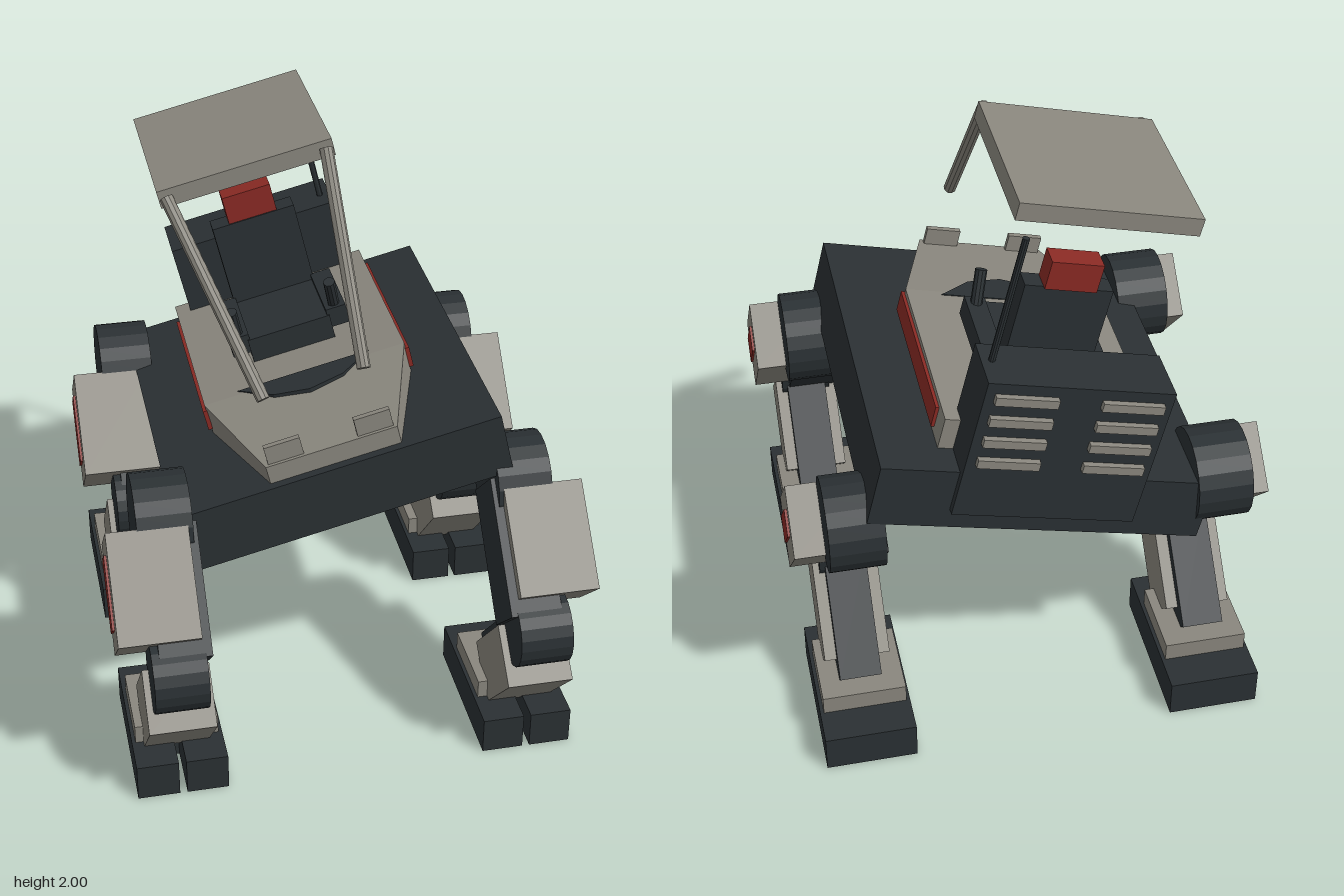
import * as THREE from 'three';

const mat = (color) => new THREE.MeshStandardMaterial({ color, flatShading: true });

export function createModel() {
  const grey = mat(0x8a877e), dark = mat(0x2a3033), red = mat(0x8a2a24);
  const model = new THREE.Group();
  model.name = 'quadWalker';

  const add = (parent, name, geo, material, x, y, z, rx = 0) => {
    const m = new THREE.Mesh(geo, material);
    m.name = name;
    m.position.set(x, y, z);
    m.rotation.x = rx;
    parent.add(m);
    return m;
  };
  // box given by its size and centre, optionally pitched about x
  const box = (parent, name, material, [w, h, d], [x, y, z], rx = 0) =>
    add(parent, name, new THREE.BoxGeometry(w, h, d), material, x, y, z, rx);
  // disc joint with its axis along x
  const joint = (parent, name, r, w, [x, y, z]) => {
    const geo = new THREE.CylinderGeometry(r, r, w, 20).rotateZ(Math.PI / 2);
    return add(parent, name, geo, dark, x, y, z);
  };
  // round bar between two points
  const rod = (parent, name, material, r, a, b) => {
    const A = new THREE.Vector3(...a), B = new THREE.Vector3(...b);
    const m = add(parent, name, new THREE.CylinderGeometry(r, r, A.distanceTo(B), 10), material,
      ...A.clone().add(B).multiplyScalar(0.5).toArray());
    m.quaternion.setFromUnitVectors(new THREE.Vector3(0, 1, 0), B.sub(A).normalize());
    return m;
  };
  // rectangular cross-sections from front to back: [z, halfWidth, bottom, top]
  const loft = (sections) => {
    const pos = [], idx = [];
    for (const [z, w, b, t] of sections) pos.push(-w, b, z, w, b, z, w, t, z, -w, t, z);
    const n = sections.length;
    for (let i = 0; i < n - 1; i++) {
      for (let j = 0; j < 4; j++) {
        const a = i * 4 + j, c = i * 4 + (j + 1) % 4;
        idx.push(a, a + 4, c + 4, a, c + 4, c);
      }
    }
    const e = (n - 1) * 4;
    idx.push(0, 1, 2, 0, 2, 3, e, e + 2, e + 1, e, e + 3, e + 2);
    const g = new THREE.BufferGeometry();
    g.setAttribute('position', new THREE.Float32BufferAttribute(pos, 3));
    g.setIndex(idx);
    const flat = g.toNonIndexed();
    flat.computeVertexNormals();
    return flat;
  };

  // Upper body, rolled sideways over the legs
  const body = new THREE.Group();
  body.name = 'body';
  body.position.y = 0.97;
  body.rotation.z = 0.235;
  model.add(body);
  box(body, 'hull', dark, [1.1, 0.22, 1.235], [0, 0, -0.137]);
  add(body, 'deck', loft([[0.45, 0.22, 0.1, 0.175], [0.06, 0.35, 0.1, 0.222], [-0.64, 0.35, 0.1, 0.222]]),
    grey, 0, 0, 0);

  // Dark half-round inset on the sloping nose
  const inset = new THREE.Shape([[-0.23, -0.04], [-0.12, -0.13], [0, -0.16], [0.12, -0.13], [0.23, -0.04]]
    .map(([x, y]) => new THREE.Vector2(x, y)));
  add(body, 'noseInset',
    new THREE.ExtrudeGeometry(inset, { depth: 0.05, bevelEnabled: false }).rotateX(-Math.PI / 2),
    dark, 0, 0.175, 0);

  // Engine pack with vents at the back
  box(body, 'enginePack', dark, [0.6, 0.51, 0.2], [0, 0.217, -0.68]);
  for (const s of [-1, 1]) {
    for (let i = 0; i < 4; i++) {
      box(body, 'vent', grey, [0.2, 0.03, 0.025], [s * 0.17, 0.42 - i * 0.08, -0.788]);
    }
  }
  rod(body, 'antenna', dark, 0.011, [0.265, 0.46, -0.662], [0.265, 0.91, -0.662]);

  // Seat
  box(body, 'seatCushion', dark, [0.29, 0.1, 0.28], [0, 0.26, -0.25]);
  box(body, 'seatBack', dark, [0.29, 0.4, 0.07], [0, 0.41, -0.415]);
  box(body, 'headrest', red, [0.17, 0.1, 0.08], [0, 0.66, -0.425]);

  // Canopy
  box(body, 'canopy', grey, [0.58, 0.06, 0.59], [0, 0.958, -0.305]);

  for (const s of [-1, 1]) {
    box(body, 'sideStripe', red, [0.02, 0.075, 0.63], [s * 0.351, 0.168, -0.245]);
    box(body, 'noseTab', grey, [0.12, 0.07, 0.02], [s * 0.15, 0.205, 0.43]);
    box(body, 'armrest', dark, [0.07, 0.07, 0.27], [s * 0.172, 0.295, -0.25]);
    rod(body, 'controlStick', dark, 0.02, [s * 0.172, 0.31, -0.155], [s * 0.172, 0.435, -0.11]);
    rod(body, 'canopyStrut', grey, 0.022, [s * 0.265, 0.965, 0], [s * 0.165, 0.41, 0.43]);
  }

  // Four identical legs
  const thighPitch = -0.756, shinPitch = 0.75;
  for (const s of [-1, 1]) {
    for (const [place, z] of [['front', 0], ['rear', -1]]) {
      const leg = new THREE.Group();
      leg.name = place + (s > 0 ? 'LeftLeg' : 'RightLeg');
      leg.position.z = z;
      model.add(leg);

      joint(leg, 'hip', 0.155, 0.18, [s * 0.593, 0.895, 0.375]);
      box(leg, 'thighCore', dark, [0.17, 0.46, 0.22], [s * 0.573, 0.715, 0.54], thighPitch);
      box(leg, 'thighArmor', grey, [0.265, 0.365, 0.235], [s * 0.651, 0.74, 0.555], thighPitch);
      box(leg, 'thighPanel', red, [0.02, 0.24, 0.09], [s * 0.782, 0.745, 0.558], thighPitch);
      joint(leg, 'knee', 0.122, 0.175, [s * 0.596, 0.523, 0.717]);
      box(leg, 'shinArmor', grey, [0.22, 0.34, 0.21], [s * 0.595, 0.298, 0.607], shinPitch);
      box(leg, 'shinCore', dark, [0.14, 0.42, 0.16], [s * 0.595, 0.32, 0.541], shinPitch);
      box(leg, 'ankle', grey, [0.28, 0.075, 0.28], [s * 0.592, 0.158, 0.43]);

      // Foot with two toes
      box(leg, 'heel', dark, [0.305, 0.13, 0.34], [s * 0.592, 0.065, 0.335]);
      for (const t of [-1, 1]) {
        box(leg, 'toe', dark, [0.14, 0.13, 0.2], [s * 0.592 + t * 0.0825, 0.065, 0.6]);
      }
    }
  }
  return model;
}
